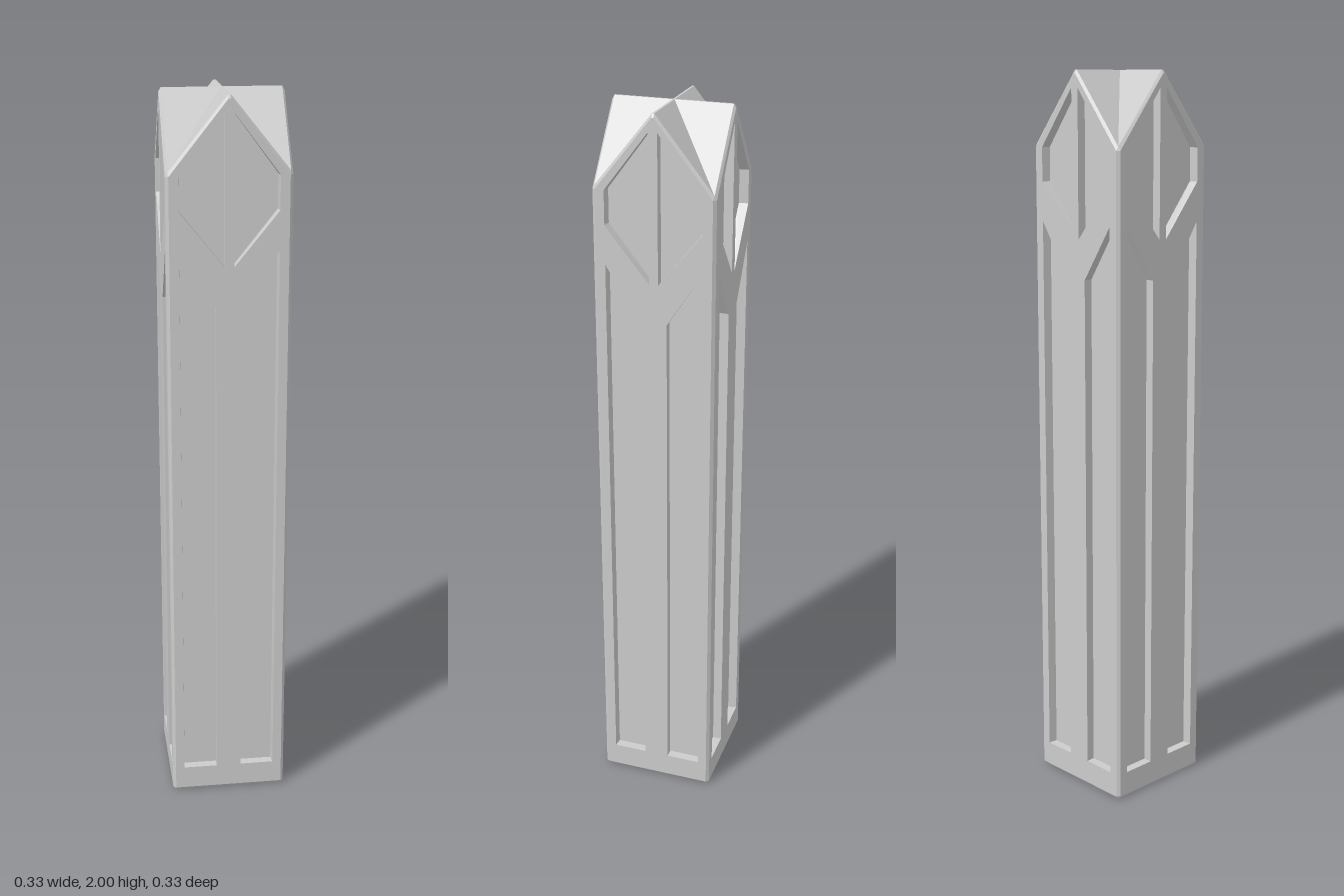
import * as THREE from 'three';

const R = 0.163;      // half width of the column
const E = 0.155;      // half width of a flat face, inside the corner chamfers
const T = 0.157;      // half width of the roof, inside its edge bevel
const DEPTH = 0.025;  // recess of the panels
const TOP = 2, SHOULDER = 1.81, FOOT = 0.008;

// Recessed panels on the +x half of a face, counter-clockwise
const longPanel = [[0.035, 0.075], [0.13, 0.075], [0.13, 1.605], [0.035, 1.46]];
const gablePanel = [[0.012, 1.565], [0.13, 1.71], [0.13, 1.80], [0.012, 1.955]];
const mirror = (loop) => loop.map(([x, y]) => [-x, y]).reverse();
const panels = [longPanel, gablePanel, mirror(longPanel), mirror(gablePanel)];

const material = new THREE.MeshStandardMaterial({
  color: 0xcccccc, side: THREE.DoubleSide, flatShading: true,
});

// Flat polygons, each fanned from its first corner
function polygons(list) {
  const pos = [];
  for (const p of list) {
    for (let i = 1; i < p.length - 1; i++) pos.push(...p[0], ...p[i], ...p[i + 1]);
  }
  const geo = new THREE.BufferGeometry();
  geo.setAttribute('position', new THREE.Float32BufferAttribute(pos, 3));
  geo.computeVertexNormals();
  return geo;
}

const toPath = (Type, loop) => new Type(loop.map(([x, y]) => new THREE.Vector2(x, y)));

// Gabled wall with openings for the panels
function wallGeometry() {
  const shape = toPath(THREE.Shape, [
    [-E, FOOT], [E, FOOT], [E, SHOULDER - 0.01], [0.003, TOP - 0.01],
    [-0.003, TOP - 0.01], [-E, SHOULDER - 0.01],
  ]);
  shape.holes = panels.map((loop) => toPath(THREE.Path, [...loop].reverse()));
  return new THREE.ShapeGeometry(shape).translate(0, 0, R);
}

// Floor and side walls of every recess
function recessGeometry() {
  const faces = [];
  for (const loop of panels) {
    const front = loop.map(([x, y]) => [x, y, R]);
    const back = loop.map(([x, y]) => [x * 0.98, y, R - DEPTH]);
    faces.push(back);
    front.forEach((a, i) => {
      const j = (i + 1) % front.length;
      faces.push([a, front[j], back[j], back[i]]);
    });
  }
  return polygons(faces);
}

// Corner chamfer, gable bevels and foot bevel
function trimGeometry() {
  const s = SHOULDER - 0.01, t = TOP - 0.01, f = R - 0.006;
  return polygons([
    [[E, FOOT, R], [R, FOOT, E], [R, s, E], [E, s, R]],
    [[E, s, R], [R, s, E], [T, SHOULDER, T]],
    [[E, s, R], [T, SHOULDER, T], [0.003, TOP, T], [0.003, t, R]],
    [[-0.003, t, R], [-0.003, TOP, T], [-T, SHOULDER, T], [-E, s, R]],
    [[-0.003, t, R], [0.003, t, R], [0.003, TOP, T], [-0.003, TOP, T]],
    [[-E, 0, f], [E, 0, f], [E, FOOT, R], [-E, FOOT, R]],
    [[E, 0, f], [f, 0, E], [R, FOOT, E], [E, FOOT, R]],
  ]);
}

// One arm of the crossing gable roof: flat ridge and a slope to each valley
function roofGeometry() {
  const w = 0.003;
  return polygons([
    [[-w, TOP, T], [w, TOP, T], [w, TOP, w], [0, TOP, 0], [-w, TOP, w]],
    [[w, TOP, w], [w, TOP, T], [T, SHOULDER, T]],
    [[-w, TOP, T], [-w, TOP, w], [-T, SHOULDER, T]],
  ]);
}

export function createModel() {
  const column = new THREE.Group();
  column.name = 'column';
  const parts = {
    wall: wallGeometry(), recessedPanels: recessGeometry(),
    edgeTrim: trimGeometry(), roofArm: roofGeometry(),
  };
  // Four identical sides; the underside stays open
  for (let i = 0; i < 4; i++) {
    const side = new THREE.Group();
    side.name = ['frontSide', 'leftSide', 'backSide', 'rightSide'][i];
    for (const [name, geo] of Object.entries(parts)) {
      const mesh = new THREE.Mesh(geo, material);
      mesh.name = name;
      side.add(mesh);
    }
    side.rotation.y = i * Math.PI / 2;
    column.add(side);
  }
  return column;
}
